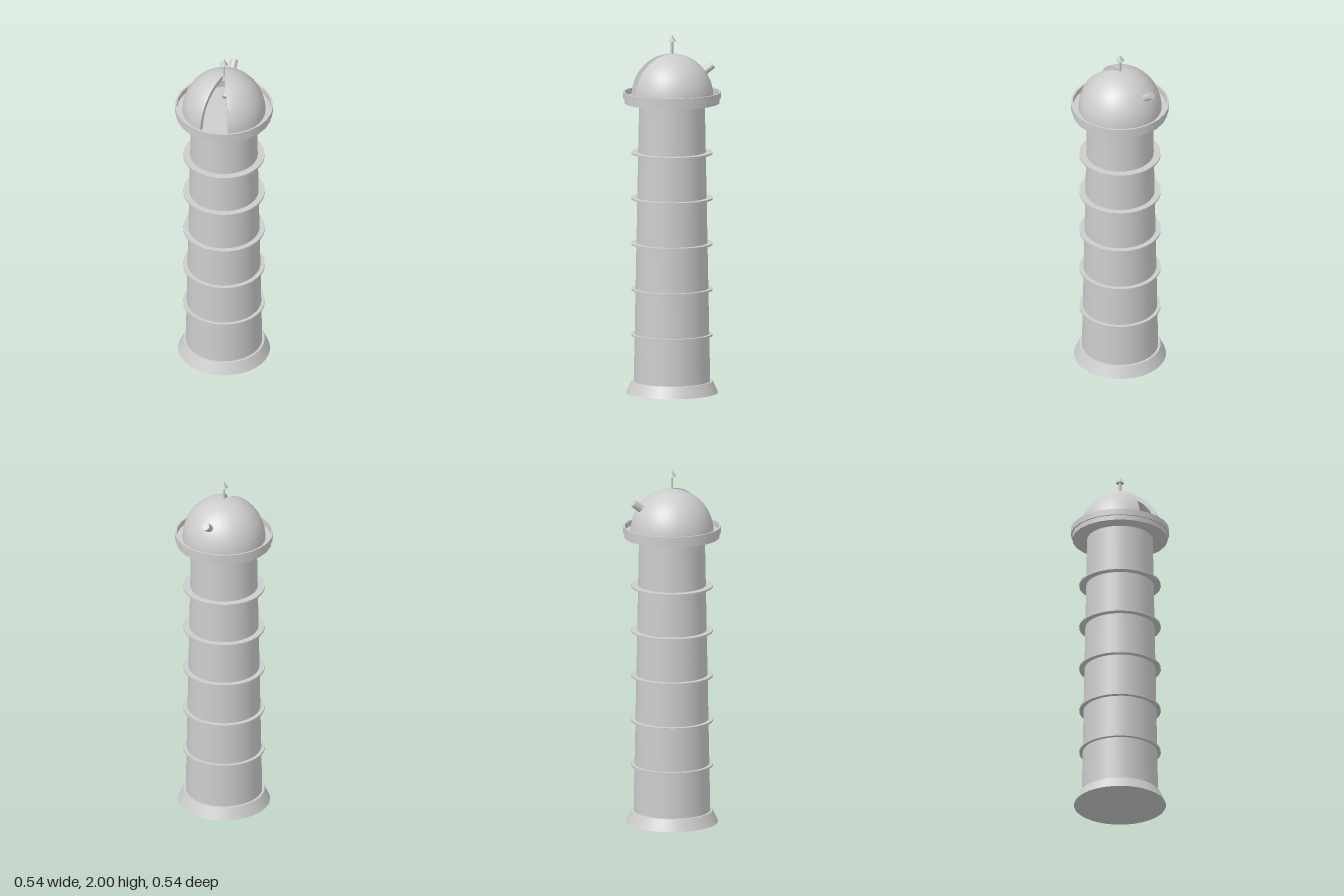
import * as THREE from 'three';

export function createModel() {
  const tower = new THREE.Group();
  tower.name = 'observatoryTower';
  const grey = new THREE.MeshStandardMaterial({ color: 0xcccccc, side: THREE.DoubleSide });
  grey.name = 'pale grey';

  function add(name, geometry, parent = tower) {
    const mesh = new THREE.Mesh(geometry, grey);
    mesh.name = name;
    parent.add(mesh);
    return mesh;
  }
  // Upright cylinder given by its bottom and top heights
  function drum(name, y0, y1, r0, r1, sides) {
    const mesh = add(name, new THREE.CylinderGeometry(r1, r0, y1 - y0, sides));
    mesh.position.y = (y0 + y1) / 2;
    return mesh;
  }

  // Flared foot and tapering shaft
  drum('base', 0, 0.065, 0.255, 0.225, 32);
  drum('shaft', 0.06, 1.63, 0.212, 0.182, 32);

  // Evenly spaced thin collars
  for (let i = 0; i < 5; i++) {
    const y = 0.325 + i * 0.254;
    drum('collar' + (i + 1), y - 0.005, y + 0.005, 0.226, 0.226, 32);
  }

  // Gallery deck with a raised rim
  drum('galleryDeck', 1.62, 1.65, 0.264, 0.264, 24);
  const rim = [[0.262, 1.648], [0.272, 1.648], [0.272, 1.682], [0.262, 1.682], [0.262, 1.648]];
  for (let i = 0; i < 4; i++) {
    const edge = [rim[i], rim[i + 1]].map(([x, y]) => new THREE.Vector2(x, y));
    add('galleryRim', new THREE.LatheGeometry(edge, 24));
  }

  // Thick dome with a wedge-shaped opening at the front
  const dome = new THREE.Group();
  dome.name = 'dome';
  dome.position.y = 1.65;
  tower.add(dome);
  const gap = Math.PI / 9;
  const arc = (r, h) => Array.from({ length: 17 }, (_, i) => {
    const a = (i / 16) * Math.PI / 2;
    return new THREE.Vector2(r * Math.cos(a), h * Math.sin(a));
  });
  const outer = arc(0.23, 0.243);
  const inner = arc(0.208, 0.218).reverse();
  const sweep = Math.PI * 2 - gap * 2;
  add('domeOuter', new THREE.LatheGeometry(outer, 36, gap, sweep), dome);
  add('domeInner', new THREE.LatheGeometry(inner, 36, gap, sweep), dome);
  for (const side of [1, -1]) {
    const cut = new THREE.ShapeGeometry(new THREE.Shape([...outer, ...inner]));
    add('domeOpeningEdge', cut, dome).rotation.y = side * gap - Math.PI / 2;
  }

  // Telescope leaning backwards through the dome
  const low = new THREE.Vector3(0, 1.697, -0.05);
  const high = new THREE.Vector3(0, 1.829, -0.228);
  const telescope = add('telescope', new THREE.CylinderGeometry(0.021, 0.025, low.distanceTo(high), 12));
  telescope.position.copy(low).add(high).multiplyScalar(0.5);
  telescope.quaternion.setFromUnitVectors(new THREE.Vector3(0, 1, 0), high.clone().sub(low).normalize());

  // Finial
  drum('finialFoot', 1.865, 1.896, 0.02, 0.008, 8);
  drum('finialRod', 1.88, 1.97, 0.007, 0.007, 8);
  drum('finialTip', 1.963, 2, 0.023, 0, 8);

  return tower;
}
